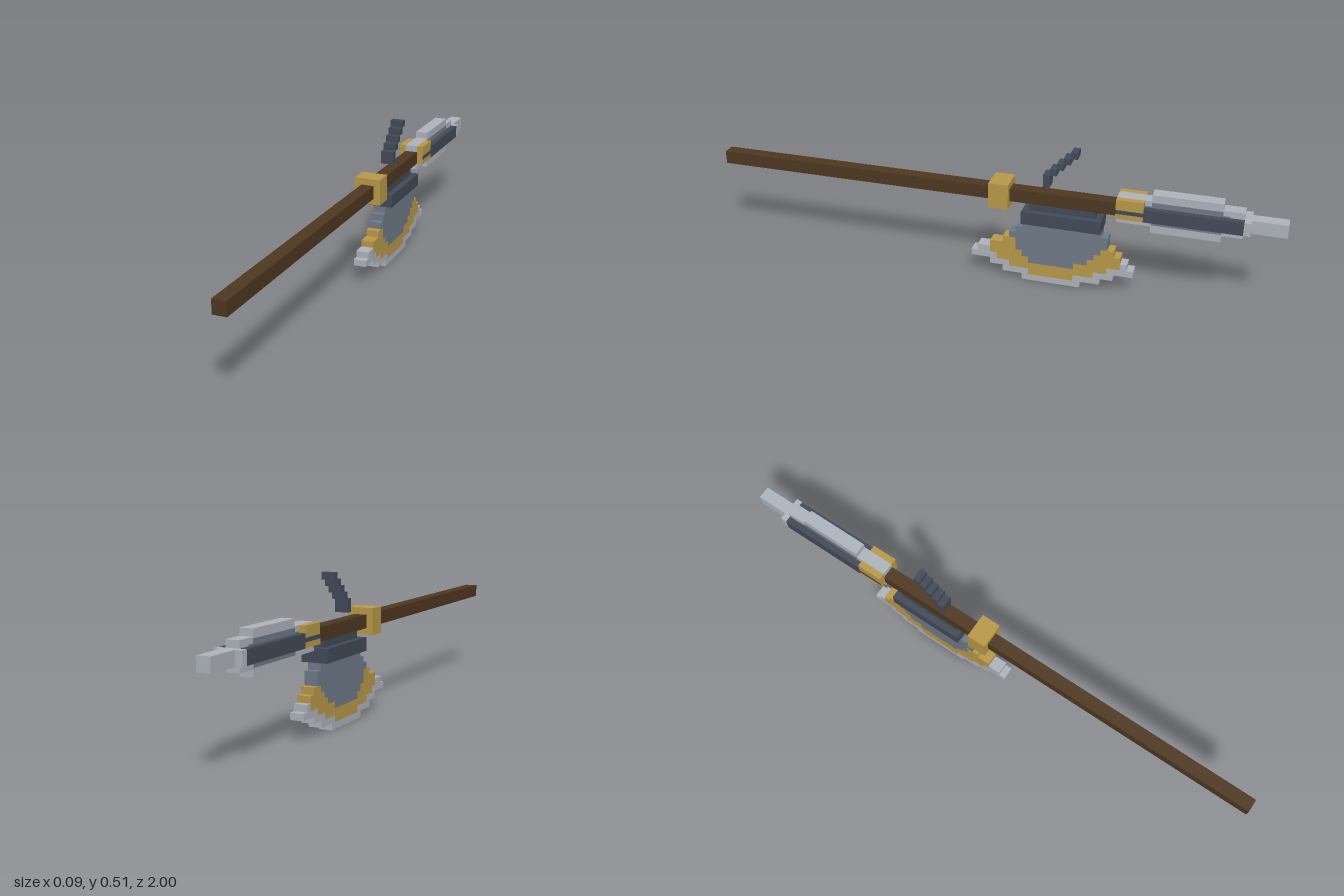
import * as THREE from 'three';

const U = 2 / 87; // one grid cell

const mat = (name, color) => {
  const m = new THREE.MeshStandardMaterial({ color });
  m.name = name;
  return m;
};

export function createModel() {
  const wood = mat('wood', 0x4e3822);
  const gold = mat('gold', 0xb99a49);
  const silver = mat('silver', 0xafb5bd);
  const slate = mat('slate', 0x6f7a88);
  const navy = mat('darkSteel', 0x434b58);

  const model = new THREE.Group();
  model.name = 'poleaxe';
  const group = (name) => {
    const g = new THREE.Group();
    g.name = name;
    model.add(g);
    return g;
  };

  // Box in grid cells: k counts back from the front end, r counts up, x across
  const box = (parent, name, m, k0, k1, r0, r1, x0 = -1, x1 = 1) => {
    const geo = new THREE.BoxGeometry((x1 - x0) * U, (r1 - r0) * U, (k1 - k0) * U);
    const mesh = new THREE.Mesh(geo, m);
    mesh.position.set(((x0 + x1) / 2) * U, ((r0 + r1) / 2) * U, 1 - ((k0 + k1) / 2) * U);
    mesh.name = name;
    parent.add(mesh);
  };

  // Pole and collar
  box(model, 'shaft', wood, 0, 63, 13, 15);
  box(model, 'collar', gold, 44, 47, 12, 16, -2, 2);

  // Blade rows from the bottom up: [outer start, end, gold start, end, slate start, end]
  const blade = group('axeBlade');
  const rows = [
    [49, 58],
    [46, 61, 50, 57],
    [44, 63, 47, 60],
    [41, 66, 45, 62, 50, 57],
    [42, 65, 44, 64, 49, 59],
    [44, 64, 44, 64, 48, 60],
    [46, 63, 46, 63, 48, 61],
    [47, 62, 47, 62, 47, 62],
    [48, 62, 48, 62, 48, 62],
    [49, 61, 49, 61, 49, 61],
  ];
  rows.forEach(([s0, s1, g0, g1, c0, c1], r) => {
    const band = (name, m, a, b, c, d) => {
      if (c === undefined) return box(blade, name, m, a, b, r, r + 1);
      if (c > a) box(blade, name, m, a, c, r, r + 1);
      if (b > d) box(blade, name, m, d, b, r, r + 1);
    };
    band('bladeEdge', silver, s0, s1, g0, g1);
    if (g0 !== undefined) band('bladeInlay', gold, g0, g1, c0, c1);
    if (c0 !== undefined) band('bladeCore', slate, c0, c1);
  });

  // Blade mount under the pole
  const mount = group('bladeMount');
  box(mount, 'mountBlock', navy, 49, 61, 10, 12, -2, 2);
  box(mount, 'mountTop', navy, 50, 60, 12, 13);

  // Stepped hook above the pole
  const hook = group('hook');
  box(hook, 'hookBase', navy, 52, 53, 16, 18);
  for (let i = 0; i < 4; i++) box(hook, 'hookStep', navy, 53 + i, 54 + i, 18 + i, 19 + i);

  // Spear head
  const spear = group('spearHead');
  box(spear, 'spearBlade', silver, 63, 81, 12, 16);
  box(spear, 'spearUpperEdge', silver, 68, 78, 16, 17);
  box(spear, 'spearLowerEdge', silver, 68, 78, 11, 12);
  box(spear, 'spearGuard', silver, 81, 82, 13, 15, -2, 2);
  box(spear, 'spearTip', silver, 82, 87, 13, 15);

  // Side ribs, panels and gold sockets, mirrored
  for (const s of [-1, 1]) {
    const side = (name, m, k0, k1, r0, r1, a, b) =>
      box(spear, name, m, k0, k1, r0, r1, Math.min(s * a, s * b), Math.max(s * a, s * b));
    side('spearPanel', slate, 68, 78, 12.2, 15.8, 1, 1.04);
    side('spearPanelEnds', slate, 67, 79, 12.8, 15.2, 1, 1.03);
    side('spearRib', navy, 67, 81, 13, 15, 1, 2);
    side('spearSocket', gold, 63, 67, 13, 16, 1, 2);
    side('socketStripe', navy, 63, 67, 13.8, 14.4, 2, 2.03);
  }
  return model;
}
